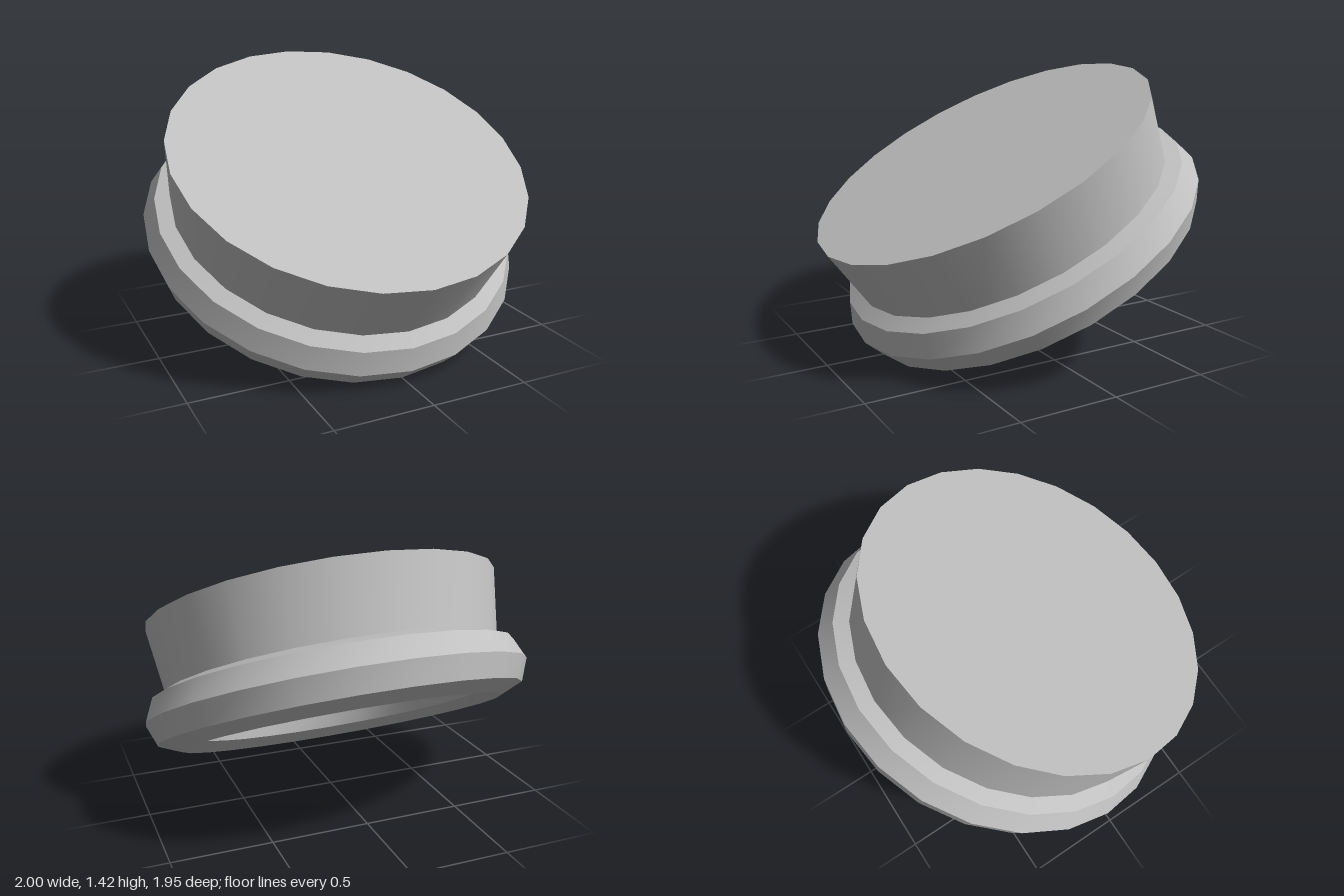
import * as THREE from 'three';
import { toCreasedNormals } from 'three/addons/utils/BufferGeometryUtils.js';

export function createModel() {
  const SIDES = 24;
  const grey = new THREE.MeshStandardMaterial({ color: 0xc0c0c0 });
  grey.name = 'light grey';

  const model = new THREE.Group();
  model.name = 'tiltedCap';

  // Everything shares one axis, leaning towards the front
  const tilt = new THREE.Group();
  tilt.name = 'tiltedBody';
  tilt.rotation.x = THREE.MathUtils.degToRad(28);
  tilt.position.set(0, 0.55, -0.082);
  model.add(tilt);

  const add = (name, geometry) => {
    const mesh = new THREE.Mesh(toCreasedNormals(geometry, 0.5), grey);
    mesh.name = name;
    tilt.add(mesh);
  };

  // Flared disc, its underside level with the middle of the ring
  const height = 0.495;
  add('disc', new THREE.CylinderGeometry(0.931, 0.854, height, SIDES).translate(0, height / 2, 0));

  // Eight-sided rim ring around the foot of the disc
  add('rimRing', new THREE.TorusGeometry(0.839, 0.16, 8, SIDES).rotateX(Math.PI / 2));

  return model;
}
